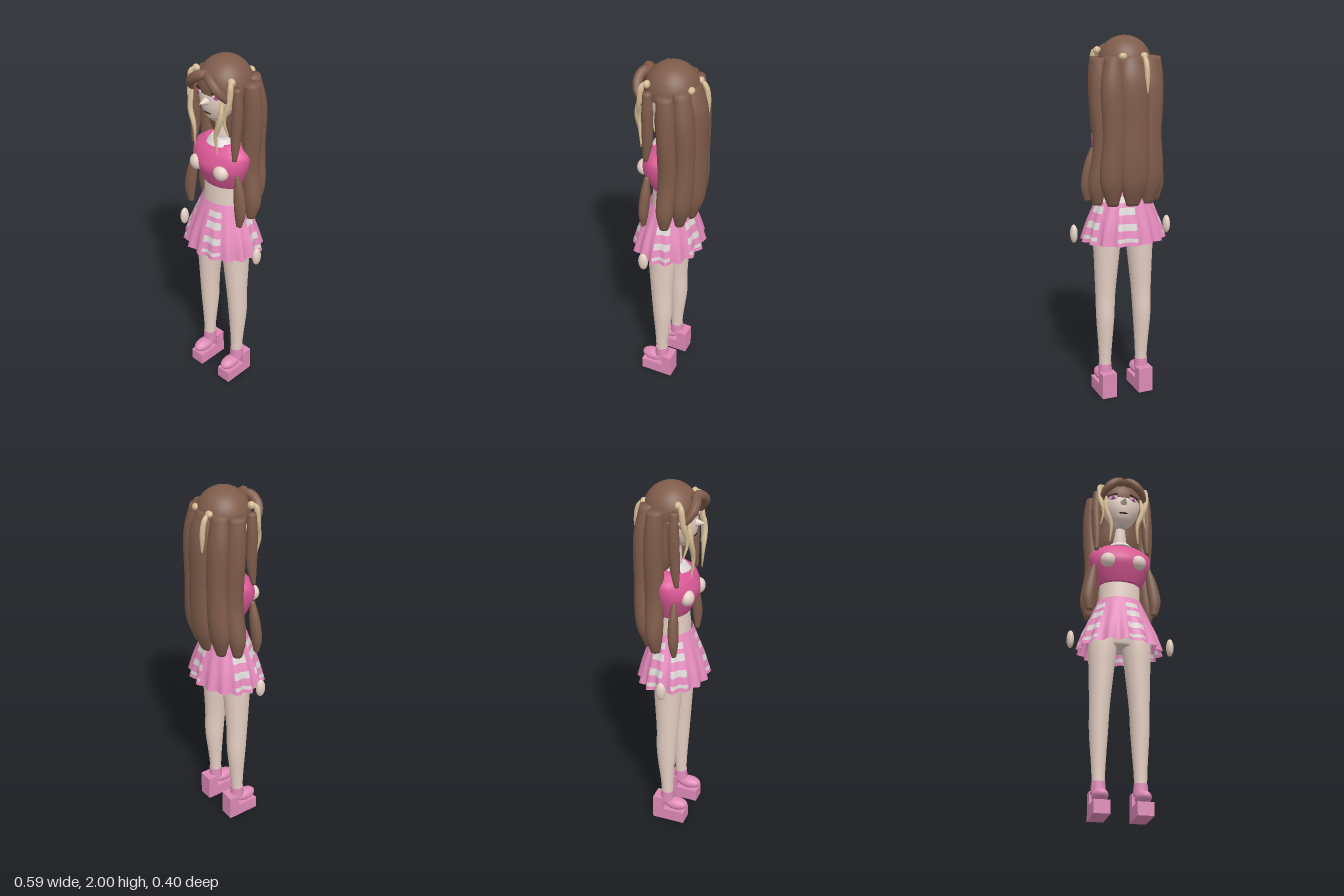
import * as THREE from 'three';

const mat = (name, color, side = THREE.FrontSide) => {
  const m = new THREE.MeshStandardMaterial({ color, side });
  m.name = name;
  return m;
};

export function createModel() {
  const M = {
    skin: mat('skin', 0xe6d0c4),
    hair: mat('brown hair', 0x7f5c4b),
    blonde: mat('blonde streak', 0xd6bc96),
    top: mat('deep pink', 0xdc5a97),
    skirt: mat('skirt pink', 0xe78cbe, THREE.DoubleSide),
    shoe: mat('shoe pink', 0xde8ab6),
    white: mat('pale grey', 0xdcd5d5, THREE.DoubleSide),
    dark: mat('dark brown', 0x33221f),
    iris: mat('magenta', 0xc04f9a),
  };
  const root = new THREE.Group();
  root.name = 'figure';

  const add = (name, geo, material, x = 0, y = 0, z = 0, parent = root) => {
    const m = new THREE.Mesh(geo, material);
    m.name = name;
    m.position.set(x, y, z);
    parent.add(m);
    return m;
  };
  const ball = (name, m, x, y, z, rx, ry, rz) =>
    add(name, new THREE.SphereGeometry(1, 28, 20).scale(rx, ry, rz), m, x, y, z);

  // Surface through horizontal rings [y, cx, cz, rx, rz], listed bottom to top
  function loft(rings, { cols = 24, steps = 24, closed = true, shape = () => 1, pick = null } = {}) {
    const track = (k) => new THREE.CatmullRomCurve3(rings.map((r) => new THREE.Vector3(...k(r))));
    const centre = track((r) => [r[1], r[0], r[2]]);
    const radius = track((r) => [r[3], r[0], r[4]]);
    const pos = [], buckets = [[], []];
    const ring = (c, rx, rz, v) => {
      for (let i = 0; i < cols; i++) {
        const a = (i / cols) * Math.PI * 2, s = shape(a, v);
        pos.push(c.x + Math.sin(a) * rx * s, c.y, c.z + Math.cos(a) * rz * s);
      }
    };
    if (closed) ring(centre.getPoint(0), 0, 0, 0);
    for (let j = 0; j <= steps; j++) {
      const r = radius.getPoint(j / steps);
      ring(centre.getPoint(j / steps), Math.max(r.x, 0.001), Math.max(r.z, 0.001), j / steps);
    }
    if (closed) ring(centre.getPoint(1), 0, 0, 1);
    const rows = pos.length / 3 / cols - 1;
    for (let j = 0; j < rows; j++) for (let i = 0; i < cols; i++) {
      const n = (i + 1) % cols, a = j * cols + i, b = j * cols + n, c = b + cols, d = a + cols;
      buckets[pick ? pick((i + 0.5) / cols * 360, pos[a * 3 + 1]) : 0].push(a, b, c, a, c, d);
    }
    const g = new THREE.BufferGeometry();
    g.setAttribute('position', new THREE.Float32BufferAttribute(pos, 3));
    g.setIndex([...buckets[0], ...buckets[1]]);
    g.computeVertexNormals();
    if (pick) {
      g.addGroup(0, buckets[0].length, 0);
      g.addGroup(buckets[0].length, buckets[1].length, 1);
    }
    return g;
  }

  // Tapered tube along a free path
  function lock(points, r, end = 0.25) {
    const path = new THREE.CatmullRomCurve3(points.map((p) => new THREE.Vector3(...p)));
    const seg = 20, sides = 10, g = new THREE.TubeGeometry(path, seg, r, sides);
    const p = g.attributes.position, v = new THREE.Vector3();
    for (let i = 0; i < p.count; i++) {
      const t = Math.floor(i / (sides + 1)) / seg, c = path.getPointAt(t);
      const k = Math.min(1, 0.4 + t * 4) * (t < 0.5 ? 1 : 1 - (1 - end) * (t - 0.5) * 2);
      v.fromBufferAttribute(p, i).sub(c).multiplyScalar(k).add(c);
      p.setXYZ(i, v.x, v.y, v.z);
    }
    g.computeVertexNormals();
    return g;
  }

  for (const s of [1, -1]) {
    const side = s > 0 ? 'left' : 'right';

    // Platform shoe
    const shoe = new THREE.Group();
    shoe.name = side + 'Shoe';
    shoe.position.x = s * 0.11;
    root.add(shoe);
    add('sole', new THREE.BoxGeometry(0.085, 0.07, 0.187), M.shoe, 0, 0.035, 0.022, shoe);
    add('heelBlock', new THREE.BoxGeometry(0.085, 0.075, 0.06), M.shoe, 0, 0.105, -0.041, shoe);
    add('toe', new THREE.SphereGeometry(1, 24, 16).scale(0.041, 0.035, 0.07), M.shoe, 0, 0.102, 0.056, shoe);
    add('ankleCuff', new THREE.CylinderGeometry(0.036, 0.04, 0.06, 24), M.shoe, 0, 0.155, 0.003, shoe);

    // Leg
    add(side + 'Leg', loft([
      [0.14, s * 0.11, 0.005, 0.032, 0.032], [0.25, s * 0.11, 0.002, 0.036, 0.036],
      [0.46, s * 0.11, -0.003, 0.05, 0.055], [0.6, s * 0.107, 0.002, 0.055, 0.06],
      [0.78, s * 0.1, 0.003, 0.067, 0.072], [0.94, s * 0.093, 0.004, 0.077, 0.081],
      [1.04, s * 0.08, 0, 0.07, 0.08]]), M.skin);

    // Hand
    ball(side + 'Hand', M.skin, s * 0.275, 0.952, 0.032, 0.02, 0.051, 0.027);

    // Chest patch
    ball(side + 'ChestPatch', M.skin, s * 0.085, 1.42, 0.106, 0.043, 0.043, 0.037);

    // Eye: lash, white, iris
    ball(side + 'EyeWhite', M.white, s * 0.06, 1.835, 0.107, 0.026, 0.014, 0.008).rotation.y = s * 0.5;
    ball(side + 'Iris', M.iris, s * 0.06, 1.833, 0.113, 0.011, 0.012, 0.006).rotation.y = s * 0.5;
    const lash = add(side + 'Lash', new THREE.BoxGeometry(0.055, 0.007, 0.008), M.dark, s * 0.062, 1.85, 0.112);
    lash.rotation.set(0, s * 0.5, -s * 0.15);

    // Long side and back strands
    add(side + 'SideStrand', loft([
      [1.12, s * 0.165, -0.04, 0.025, 0.025], [1.22, s * 0.168, -0.045, 0.047, 0.045],
      [1.42, s * 0.145, -0.05, 0.045, 0.05], [1.65, s * 0.153, -0.05, 0.052, 0.05],
      [1.8, s * 0.155, -0.045, 0.048, 0.048], [1.89, s * 0.155, -0.04, 0.035, 0.04]]), M.hair);
    add(side + 'BackStrand', loft([
      [1.12, s * 0.1, -0.1, 0.03, 0.025], [1.25, s * 0.11, -0.115, 0.065, 0.05],
      [1.5, s * 0.1, -0.125, 0.062, 0.05], [1.75, s * 0.105, -0.12, 0.065, 0.05],
      [1.9, s * 0.095, -0.1, 0.045, 0.04]]), M.hair);

    // Front strands, upper and lower
    add(side + 'FrontStrand', loft([
      [1.5, s * 0.145, 0.07, 0.012, 0.012], [1.6, s * 0.143, 0.06, 0.024, 0.026],
      [1.78, s * 0.148, 0.055, 0.028, 0.028], [1.89, s * 0.145, 0.055, 0.02, 0.022]]), M.hair);
    add(side + 'LowerStrand', loft([
      [1.12, s * 0.18, 0.07, 0.018, 0.012], [1.2, s * 0.185, 0.068, 0.033, 0.025],
      [1.32, s * 0.17, 0.062, 0.03, 0.025], [1.41, s * 0.155, 0.06, 0.01, 0.012]]), M.hair);

    // Fringe
    add(side + 'Fringe', lock([[-s * 0.01, 1.945, 0.105], [s * 0.045, 1.925, 0.135],
      [s * 0.1, 1.875, 0.13], [s * 0.135, 1.81, 0.085]], 0.026, 0.4), M.hair);

    // Blonde streaks
    add(side + 'FaceStreak', lock([[s * 0.1, 1.83, 0.115], [s * 0.105, 1.74, 0.13],
      [s * 0.075, 1.64, 0.133], [s * 0.08, 1.53, 0.125]], 0.014, 0.2), M.blonde);
    add(side + 'TempleStreak', lock([[s * 0.11, 1.925, 0.07], [s * 0.13, 1.92, 0.085],
      [s * 0.135, 1.83, 0.1], [s * 0.115, 1.73, 0.115], [s * 0.13, 1.65, 0.1]], 0.015, 0.2), M.blonde);
    ball(side + 'TempleBead', M.blonde, s * 0.12, 1.92, 0.068, 0.021, 0.02, 0.017);
    ball(side + 'BackBead', M.blonde, s * 0.058, 1.9, -0.138, 0.022, 0.018, 0.017);
  }

  // Middle back strand with its streak
  add('middleBackStrand', loft([
    [1.12, 0, -0.13, 0.035, 0.02], [1.25, 0, -0.148, 0.075, 0.045],
    [1.55, 0, -0.15, 0.08, 0.05], [1.78, 0, -0.145, 0.08, 0.05],
    [1.9, 0, -0.115, 0.06, 0.04]]), M.hair);
  add('backStreak', lock([[-0.055, 1.91, -0.14], [-0.058, 1.86, -0.171],
    [-0.058, 1.75, -0.18], [-0.055, 1.66, -0.175]], 0.014, 0.2), M.blonde);

  // Hair cap and the hair behind the neck
  add('hairCap', new THREE.SphereGeometry(0.14, 36, 16, 0, Math.PI * 2, 0, Math.PI * 0.56), M.hair, 0, 1.86, -0.015);
  add('backHair', loft([[1.5, 0, -0.07, 0.1, 0.05], [1.6, 0, -0.05, 0.13, 0.07],
    [1.75, 0, -0.045, 0.135, 0.085], [1.88, 0, -0.03, 0.13, 0.1]]), M.hair);

  // Head, nose and mouth
  add('head', loft([[1.675, 0, 0.045, 0.025, 0.03], [1.71, 0, 0.035, 0.065, 0.07],
    [1.77, 0, 0.025, 0.1, 0.098], [1.84, 0, 0.012, 0.115, 0.108],
    [1.92, 0, 0, 0.1, 0.09]]), M.skin);
  const nose = add('nose', new THREE.ConeGeometry(0.024, 0.055, 16), M.skin, 0, 1.8, 0.142);
  nose.rotation.x = Math.PI / 2;
  ball('mouth', M.dark, 0, 1.735, 0.108, 0.026, 0.006, 0.012);

  // Neck and collar
  add('neck', new THREE.CylinderGeometry(0.038, 0.045, 0.2, 24), M.skin, 0, 1.6, 0);
  add('collar', new THREE.CylinderGeometry(0.06, 0.085, 0.03, 28), M.white, 0, 1.555, 0.005);

  // Waist, hips and cropped top
  add('waist', loft([[0.93, 0, 0, 0.1, 0.07], [1.05, 0, 0, 0.13, 0.09],
    [1.2, 0, 0, 0.115, 0.088], [1.34, 0, 0, 0.115, 0.08]], { cols: 36 }), M.skin);
  add('croppedTop', loft([[1.305, 0, 0, 0.12, 0.088], [1.36, 0, 0.01, 0.145, 0.103],
    [1.43, 0, 0.015, 0.17, 0.12], [1.5, 0, 0.005, 0.172, 0.105],
    [1.55, 0, 0, 0.11, 0.065]], { cols: 40 }), M.top);

  // Pleated skirt with pale bands
  const bands = [[0.925, 0.95], [0.985, 1.025], [1.07, 1.105], [1.13, 1.165]];
  const patches = [17, 105, 168, 258, 302];
  const pleat = (a, v) => {
    const t = (a / (Math.PI * 2)) * 16 % 1;
    return 1 - (1 - v) * 0.26 * (0.5 - Math.abs(t - 0.5));
  };
  add('skirt', loft([[0.91, 0, 0.003, 0.242, 0.197], [1.0, 0, 0.002, 0.212, 0.172],
    [1.1, 0, 0, 0.168, 0.138], [1.205, 0, 0, 0.123, 0.1]], {
    cols: 96, steps: 40, closed: false, shape: pleat,
    pick: (deg, y) => +(patches.some((c) => Math.abs(deg - c) < 15) &&
      bands.some(([lo, hi]) => y >= lo && y < hi)),
  }), [M.skirt, M.white]);

  return root;
}
